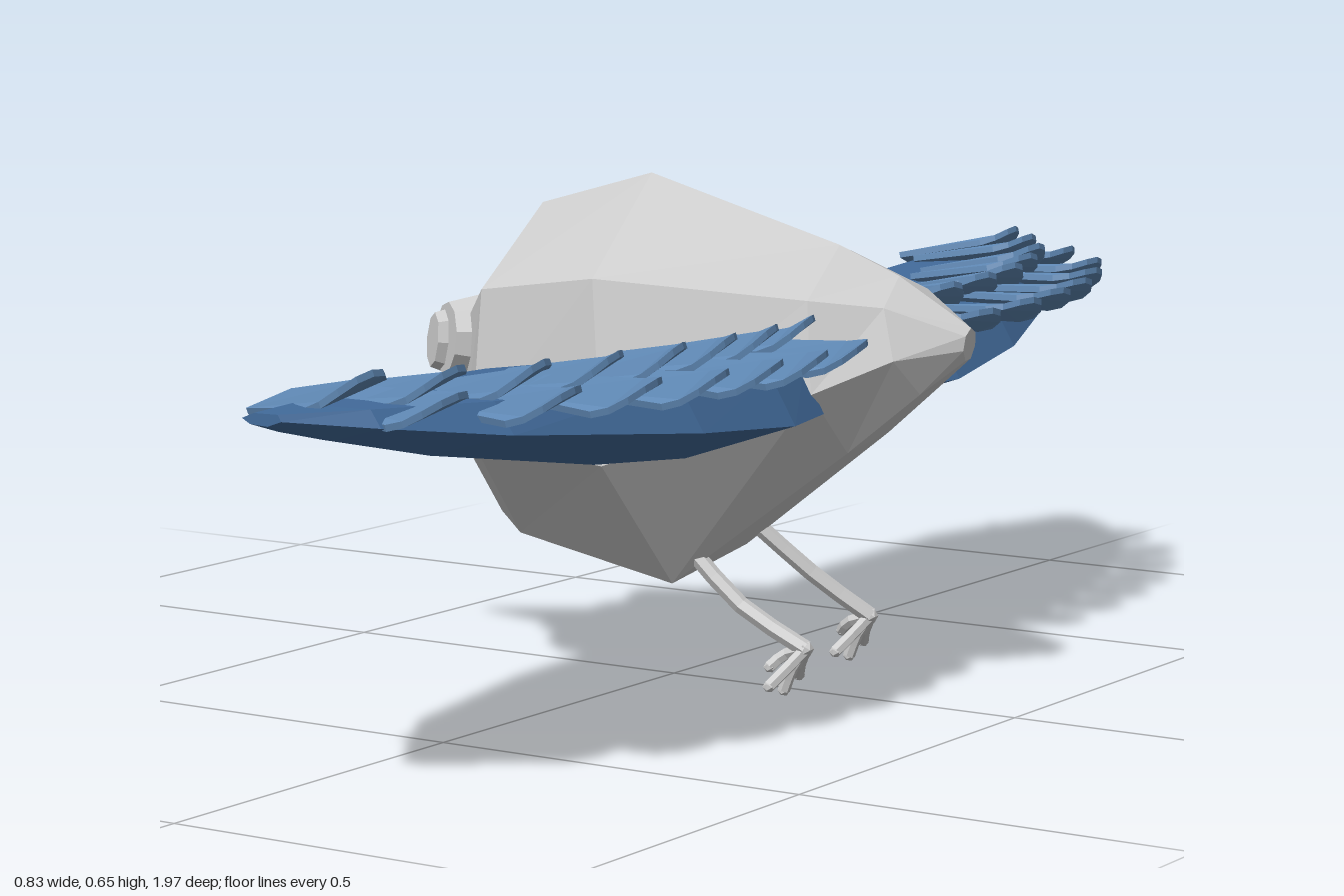
import * as THREE from 'three';

const mat = (color) => new THREE.MeshStandardMaterial({ color, flatShading: true });
const grey = mat(0xcccccc), blue = mat(0x426b9b), featherBlue = mat(0x5f88b4), orange = mat(0xc47a1e);

function add(parent, name, geometry, material) {
  const mesh = new THREE.Mesh(geometry, material);
  mesh.name = name;
  parent.add(mesh);
  return mesh;
}

// Closed skin over rings of points, turned outward whichever way the rings run
function loft(rings) {
  const n = rings[0].length, last = (rings.length - 1) * n;
  const pts = rings.flat().map((p) => new THREE.Vector3(...p));
  let tris = [];
  for (let r = 0; r < last; r += n) {
    for (let i = 0; i < n; i++) {
      const j = (i + 1) % n;
      tris.push([r + i, r + j, r + n + j], [r + i, r + n + j, r + n + i]);
    }
  }
  for (let i = 1; i < n - 1; i++) tris.push([0, i + 1, i], [last, last + i, last + i + 1]);
  const cross = new THREE.Vector3();
  const volume = tris.reduce((v, [a, b, c]) => v + pts[a].dot(cross.crossVectors(pts[b], pts[c])), 0);
  if (volume < 0) tris = tris.map(([a, b, c]) => [a, c, b]);
  const g = new THREE.BufferGeometry().setFromPoints(pts);
  g.setIndex(tris.flat());
  g.computeVertexNormals();
  return g;
}

// Seven-sided upright ring with one corner on top
function bodyRing([xTop, xBottom, top, bottom, halfWidth]) {
  return Array.from({ length: 7 }, (_, i) => {
    const a = Math.PI / 2 + (i * Math.PI * 2) / 7;
    const t = (Math.sin(a) + 0.901) / 1.901;
    return [xBottom + (xTop - xBottom) * t, bottom + (top - bottom) * t, (halfWidth * Math.cos(a)) / 0.975];
  });
}

function beakHalf(base, tip, rise, width) {
  const ring = ([x, y], k) => Array.from({ length: 6 }, (_, i) => {
    const a = (i * Math.PI) / 5;
    return [x + 0.02 * k * Math.abs(Math.cos(a)), y + rise * k * Math.sin(a), width * k * Math.cos(a)];
  });
  const mid = [base[0] * 0.5 + tip[0] * 0.5, base[1] * 0.5 + tip[1] * 0.5];
  return loft([ring(base, 1), ring(mid, 0.6), ring(tip, 0.1)]);
}

// Rounded paddle along +x, arched across its width, ending at the origin
function featherGeometry() {
  const s = new THREE.Shape();
  s.moveTo(-0.17, -0.035);
  s.lineTo(-0.05, -0.057);
  for (let i = 1; i < 7; i++) {
    const a = -Math.PI / 2 + (i * Math.PI) / 7;
    s.lineTo(-0.05 + 0.05 * Math.cos(a), 0.057 * Math.sin(a));
  }
  s.lineTo(-0.05, 0.057);
  s.lineTo(-0.17, 0.035);
  const g = new THREE.ExtrudeGeometry(s, { depth: 0.008, bevelEnabled: false });
  g.rotateX(-Math.PI / 2);
  const p = g.attributes.position;
  for (let i = 0; i < p.count; i++) p.setY(i, p.getY(i) - 5 * p.getZ(i) ** 2);
  g.computeVertexNormals();
  return g;
}

// Wing sections: z, leading x, trailing x, top y, bottom y
const wingSections = [
  [0.12, -0.08, 0.27, 0.425, 0.33],
  [0.24, -0.135, 0.29, 0.435, 0.325],
  [0.45, -0.14, 0.275, 0.45, 0.345],
  [0.76, -0.11, 0.2, 0.462, 0.395],
  [0.91, -0.045, 0.12, 0.467, 0.43],
  [0.985, -0.01, 0.04, 0.466, 0.452],
];
// Feather ends: z, x
const outerFeathers = [[0.2, 0.36], [0.32, 0.365], [0.43, 0.36], [0.54, 0.345], [0.65, 0.315], [0.76, 0.27], [0.87, 0.185]];
const innerFeathers = [[0.16, 0.27], [0.27, 0.275], [0.38, 0.275], [0.49, 0.265], [0.6, 0.24], [0.71, 0.205], [0.81, 0.15], [0.89, 0.09]];

function makeWing(s, feather) {
  const wing = new THREE.Group();
  wing.name = s > 0 ? 'nearWing' : 'farWing';
  add(wing, 'wingBlade', loft(wingSections.map(([z, lead, trail, top, bottom]) => {
    const c = trail - lead, h = top - bottom;
    return [
      [lead, bottom + h * 0.55, s * z], [lead + c * 0.3, top, s * z],
      [trail - c * 0.08, top, s * z], [trail, bottom + h * 0.45, s * z],
      [lead + c * 0.65, bottom, s * z], [lead + c * 0.2, bottom + h * 0.12, s * z],
    ];
  })), blue);
  [[outerFeathers, 0.47, 0.06], [innerFeathers, 0.492, 0.2]].forEach(([row, y, lift], r) => {
    row.forEach(([z, x], i) => {
      const f = add(wing, r ? 'innerFeather' : 'outerFeather', feather, featherBlue);
      f.position.set(x, y + 0.012 * (z - 0.5), s * z);
      f.rotation.set(s * 0.22, -s * (0.02 + 0.45 * z ** 4), lift + 0.03 * (i % 2), 'YZX');
    });
  });
  return wing;
}

function makeLeg(s) {
  const leg = new THREE.Group();
  leg.name = s > 0 ? 'nearLeg' : 'farLeg';
  const v = (x, y, z) => new THREE.Vector3(x, y, z);
  const ax = 0.205 + s * 0.012, az = -0.06 + s * 0.12;
  const ankle = v(ax, 0.065, az);
  const rod = (name, points, radius) => {
    const curve = new THREE.CatmullRomCurve3(points);
    add(leg, name, new THREE.TubeGeometry(curve, 4, radius, 6), grey);
    const cap = add(leg, name + 'End', new THREE.IcosahedronGeometry(radius, 0), grey);
    cap.position.copy(points[points.length - 1]);
  };
  rod('shank', [v(0.06, 0.185, -0.02 + s * 0.095), v(0.13, 0.115, -0.042 + s * 0.11), ankle], 0.011);
  [-1, 0, 1].forEach((t) => rod('toe', [ankle, v(ax - 0.018, 0.04, az + t * 0.02), v(ax - 0.03, t ? 0.022 : 0.01, az + t * 0.042)], 0.008));
  rod('backToe', [ankle, v(ax - 0.03, 0.055, az), v(ax - 0.045, 0.04, az + s * 0.01)], 0.008);
  return leg;
}

export function createModel() {
  const model = new THREE.Group();
  model.name = 'bird';

  // Trunk leans slightly about its length
  const trunk = new THREE.Group();
  trunk.name = 'trunk';
  trunk.position.set(0, 0.4, 0);
  trunk.rotation.x = 0.09;
  const inner = new THREE.Group();
  inner.name = 'trunkParts';
  inner.position.y = -0.4;
  trunk.add(inner);
  model.add(trunk);

  // Rings: top x, bottom x, top y, bottom y, half width
  add(inner, 'body', loft([
    [-0.285, -0.275, 0.43, 0.31, 0.06],
    [-0.235, -0.225, 0.53, 0.21, 0.15],
    [-0.18, -0.185, 0.605, 0.19, 0.205],
    [-0.02, 0.04, 0.65, 0.145, 0.235],
    [0.24, 0.27, 0.57, 0.32, 0.135],
    [0.32, 0.36, 0.535, 0.395, 0.08],
    [0.415, 0.41, 0.475, 0.435, 0.018],
  ].map(bodyRing)), grey);

  // Eyes: a thick disc with a smaller pupil set toward the beak
  for (const s of [-1, 1]) {
    const eye = new THREE.Group();
    eye.name = s > 0 ? 'nearEye' : 'farEye';
    const disc = new THREE.CylinderGeometry(0.042, 0.052, 0.04, 10).rotateX(Math.PI / 2).scale(1, 1.1, 1);
    add(eye, 'eyeball', disc, grey);
    const pupil = add(eye, 'pupil', new THREE.CylinderGeometry(0.022, 0.026, 0.02, 8).rotateX(Math.PI / 2).scale(1, 1.6, 1), grey);
    pupil.position.set(-s * 0.012, -0.005, 0.023);
    eye.position.set(-0.243, 0.447, s * 0.118);
    eye.lookAt(-0.243 - 0.65, 0.447 + 0.15, s * (0.118 + 0.75));
    inner.add(eye);
  }

  add(inner, 'upperBeak', beakHalf([-0.285, 0.335], [-0.418, 0.325], 0.07, 0.055), orange);
  add(inner, 'lowerBeak', beakHalf([-0.27, 0.332], [-0.41, 0.32], -0.038, 0.048), orange);

  const feather = featherGeometry();
  for (const s of [-1, 1]) model.add(makeWing(s, feather), makeLeg(s));

  // The whole bird is turned a little
  model.rotation.y = 0.1;
  const root = new THREE.Group();
  root.name = 'model';
  root.add(model);
  return root;
}
